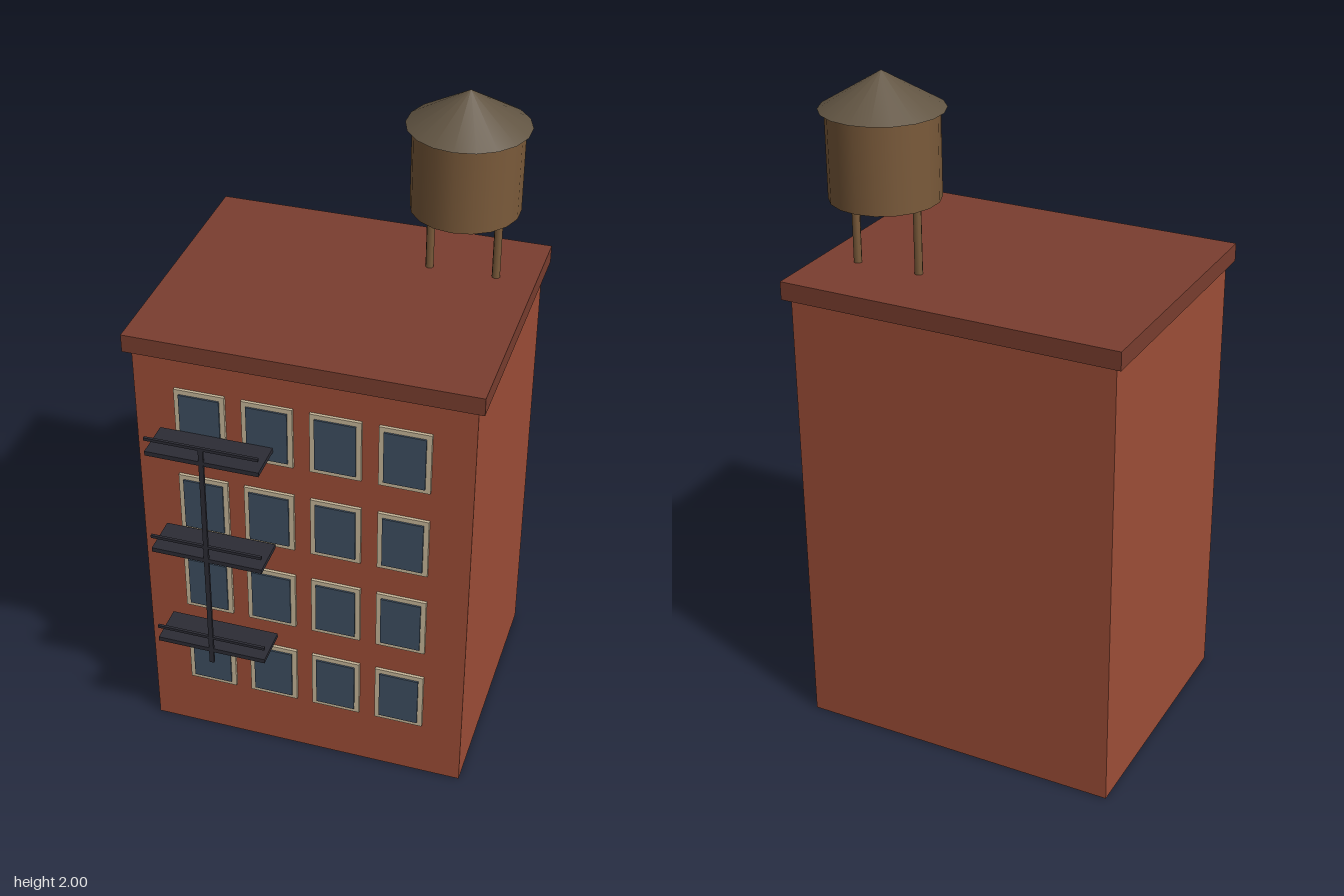
import * as THREE from 'three';

const material = (name, color) => {
  const m = new THREE.MeshStandardMaterial({ color });
  m.name = name;
  return m;
};

export function createModel() {
  const brick = material('brick', 0x9e4e37);
  const corniceBrown = material('cornice brown', 0x7a3e2f);
  const trim = material('window trim', 0xc8b89a);
  const glass = material('window glass', 0x3f5062);
  const iron = material('black iron', 0x2c2c35);
  const wood = material('tank wood', 0x7a5a3a);
  const roofing = material('tank roofing', 0x625543);

  const add = (parent, name, geometry, mat, x, y, z) => {
    const mesh = new THREE.Mesh(geometry, mat);
    mesh.name = name;
    mesh.position.set(x, y, z);
    parent.add(mesh);
    return mesh;
  };
  const group = (parent, name) => {
    const g = new THREE.Group();
    g.name = name;
    parent.add(g);
    return g;
  };
  const box = (w, h, d) => new THREE.BoxGeometry(w, h, d);

  const model = new THREE.Group();
  model.name = 'apartmentBuilding';
  const wallZ = 0.334; // front wall
  const midZ = -0.058;

  // Brick block and flat overhanging cornice
  add(model, 'walls', box(0.98, 1.38, 0.784), brick, 0, 0.69, midZ);
  add(model, 'cornice', box(1.02, 0.054, 0.824), corniceBrown, 0, 1.407, midZ);

  // Four floors of four windows: a trim plate with a raised pane
  const windows = group(model, 'windows');
  const frameGeo = box(0.148, 0.196, 0.009);
  const paneGeo = box(0.119, 0.167, 0.005);
  for (let floor = 0; floor < 4; floor++) {
    for (let column = 0; column < 4; column++) {
      const x = (column - 1.5) * 0.197;
      const y = 0.294 + floor * 0.295;
      add(windows, 'windowFrame', frameGeo, trim, x, y, wallZ + 0.0045);
      add(windows, 'windowPane', paneGeo, glass, x, y, wallZ + 0.0115);
    }
  }

  // Fire escape: three platforms with front rails and one tall pole
  const escape = group(model, 'fireEscape');
  const escapeX = -0.247;
  for (let level = 0; level < 3; level++) {
    const y = 0.447 + level * 0.344;
    add(escape, 'platform', box(0.333, 0.014, 0.119), iron, escapeX, y, 0.4075);
    add(escape, 'rail', box(0.333, 0.009, 0.008), iron, escapeX, y + 0.049, 0.464);
  }
  add(escape, 'pole', box(0.014, 0.785, 0.008), iron, escapeX, 0.791, 0.464);

  // Rooftop water tank on two legs
  const tank = group(model, 'waterTank');
  tank.position.set(0.295, 0, -0.251);
  for (const side of [-1, 1]) {
    add(tank, 'tankLeg', new THREE.CylinderGeometry(0.012, 0.012, 0.215, 8), wood, side * 0.098, 1.5385, 0);
  }
  add(tank, 'tankBarrel', new THREE.CylinderGeometry(0.157, 0.157, 0.252, 18), wood, 0, 1.77, 0);
  add(tank, 'tankRoof', new THREE.ConeGeometry(0.175, 0.104, 18), roofing, 0, 1.948, 0);

  return model;
}
